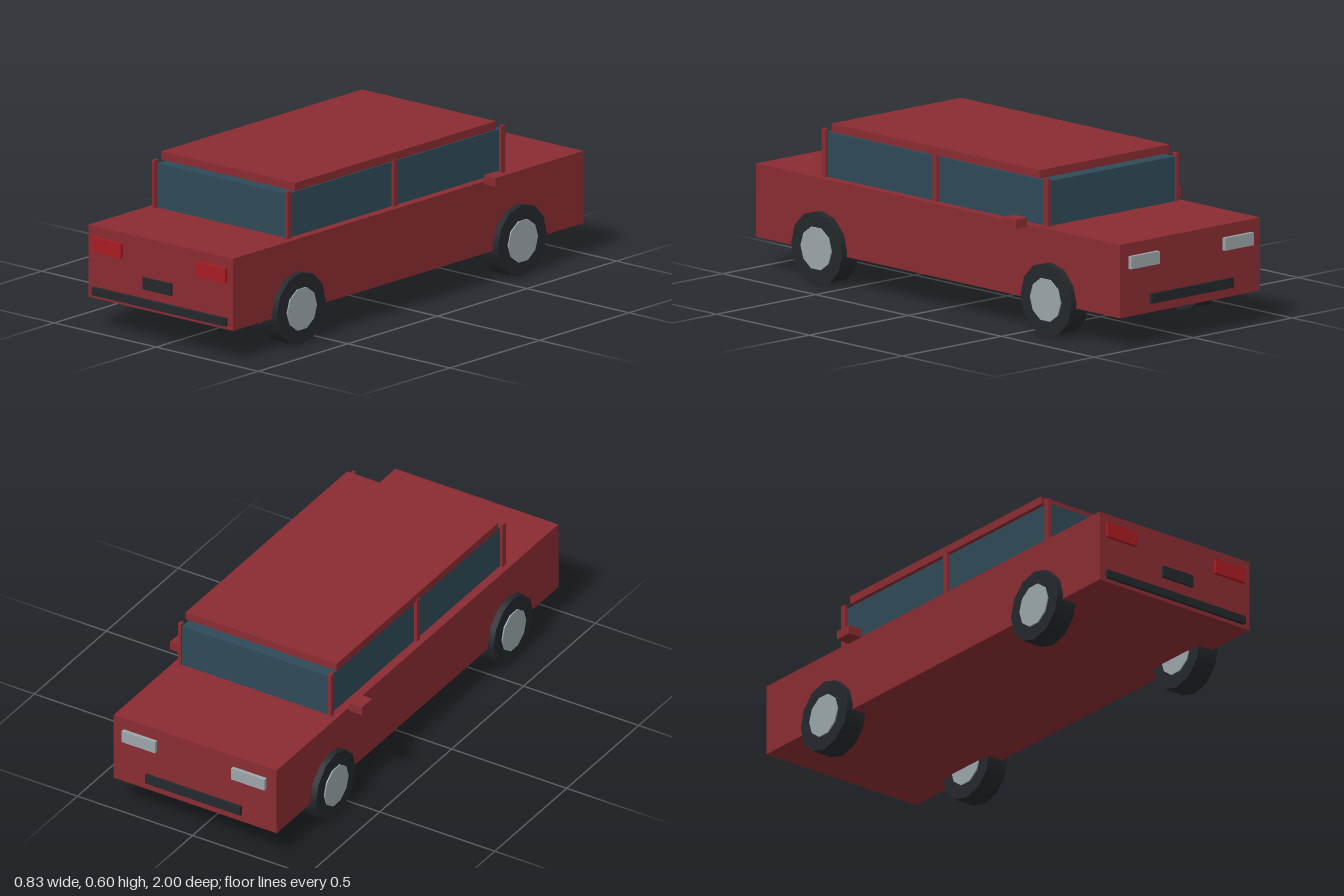
import * as THREE from 'three';

const paint = new THREE.MeshStandardMaterial({ color: 0x8a2c32 });
const glass = new THREE.MeshStandardMaterial({ color: 0x2f4a58 });
const rubber = new THREE.MeshStandardMaterial({ color: 0x24282c });
const metal = new THREE.MeshStandardMaterial({ color: 0x9ca6aa });
const redLens = new THREE.MeshStandardMaterial({ color: 0xa81c22 });

// Box given by its extents on each axis
function box(name, material, [x0, x1], [y0, y1], [z0, z1]) {
  const mesh = new THREE.Mesh(new THREE.BoxGeometry(x1 - x0, y1 - y0, z1 - z0), material);
  mesh.position.set((x0 + x1) / 2, (y0 + y1) / 2, (z0 + z1) / 2);
  mesh.name = name;
  return mesh;
}

// Tyre with a hub that stands slightly proud on both sides
function wheel(name, x, z) {
  const group = new THREE.Group();
  const tyre = new THREE.Mesh(new THREE.CylinderGeometry(0.1375, 0.1375, 0.087, 12), rubber);
  const hub = new THREE.Mesh(new THREE.CylinderGeometry(0.0825, 0.0825, 0.097, 10), metal);
  tyre.name = 'tyre';
  hub.name = 'hub';
  group.add(tyre, hub);
  group.rotation.z = Math.PI / 2;
  group.position.set(x, 0.1375, z);
  group.name = name;
  return group;
}

export function createModel() {
  const car = new THREE.Group();
  car.name = 'car';

  // Body, cabin and roof
  car.add(
    box('body', paint, [-0.354, 0.354], [0.122, 0.398], [-0.982, 0.975]),
    box('cabinGlass', glass, [-0.32, 0.32], [0.39, 0.567], [-0.562, 0.632]),
    box('roof', paint, [-0.328, 0.328], [0.573, 0.604], [-0.523, 0.598])
  );

  // Bumpers and number plate
  car.add(
    box('tailBumper', rubber, [-0.326, 0.326], [0.136, 0.166], [0.975, 0.989]),
    box('numberPlate', rubber, [-0.07, 0.07], [0.208, 0.253], [0.988, 0.998]),
    box('noseBumper', rubber, [-0.207, 0.207], [0.158, 0.195], [-1, -0.988])
  );

  // Parts mirrored on both sides
  for (const [side, s] of [['left', 1], ['right', -1]]) {
    const span = (a, b) => (s > 0 ? [a, b] : [-b, -a]);
    for (const [place, z] of [['Nose', -0.56], ['Middle', 0.039], ['Tail', 0.635]]) {
      car.add(box(`${side}${place}Pillar`, paint, span(0.319, 0.332), [0.39, 0.58], [z - 0.011, z + 0.011]));
    }
    car.add(
      box(`${side}Mirror`, paint, span(0.36, 0.417), [0.391, 0.425], [-0.49, -0.42]),
      box(`${side}TailLight`, redLens, span(0.185, 0.327), [0.302, 0.358], [0.975, 0.989]),
      box(`${side}Headlight`, metal, span(0.165, 0.31), [0.302, 0.35], [-0.997, -0.982]),
      wheel(`${side}NoseWheel`, s * 0.3355, -0.612),
      wheel(`${side}TailWheel`, s * 0.3355, 0.622)
    );
  }
  return car;
}
